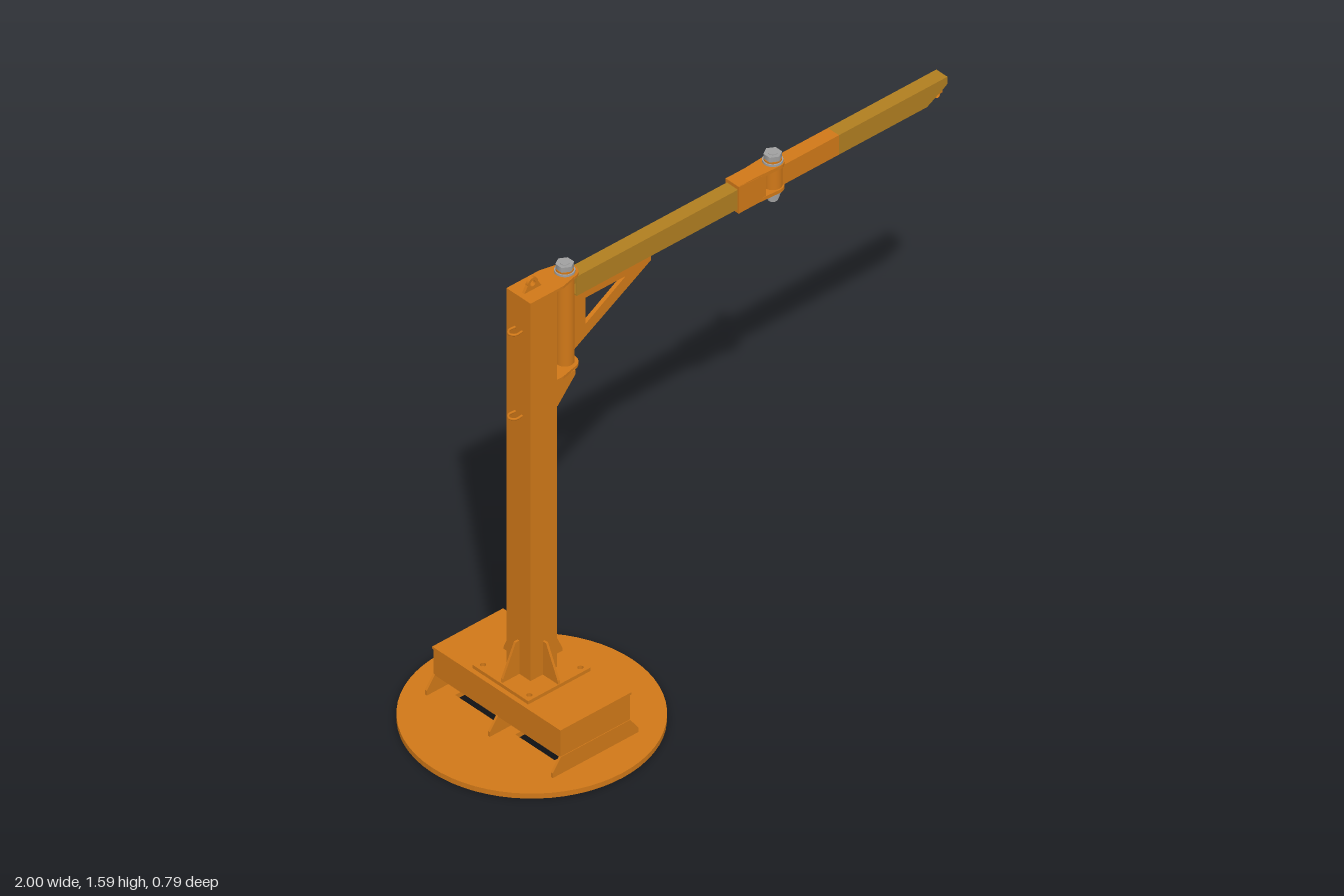
import * as THREE from 'three';

const mat = (color) => new THREE.MeshStandardMaterial({ color, side: THREE.DoubleSide });

export function createModel() {
  const root = new THREE.Group();
  const orange = mat(0xd07818), ochre = mat(0xb07e20), steel = mat(0xa0a0a0);
  const PX = -0.607, HX = -0.478, KX = 0.337; // post, hinge and knuckle axes

  function add(name, geo, material = orange, x = 0, y = 0, z = 0) {
    const m = new THREE.Mesh(geo, material);
    m.name = name;
    m.position.set(x, y, z);
    root.add(m);
    return m;
  }
  // box given by its limits
  const box = (name, x0, x1, y0, y1, z0, z1, material) =>
    add(name, new THREE.BoxGeometry(x1 - x0, y1 - y0, z1 - z0), material,
      (x0 + x1) / 2, (y0 + y1) / 2, (z0 + z1) / 2);
  const cyl = (name, r, y0, y1, x, z, material, sides = 32) =>
    add(name, new THREE.CylinderGeometry(r, r, y1 - y0, sides), material, x, (y0 + y1) / 2, z);
  const shapeOf = (pts) => new THREE.Shape(pts.map(([x, y]) => new THREE.Vector2(x, y)));
  const extrude = (shape, depth) =>
    new THREE.ExtrudeGeometry(shape, { depth, bevelEnabled: false, curveSegments: 32 });
  // upright plate centred on z
  const upright = (name, shape, t, z = 0, material) =>
    add(name, extrude(shape, t).translate(0, 0, -t / 2), material, 0, 0, z);
  // lying plate, bottom at y
  const lying = (name, shape, t, y) =>
    add(name, extrude(shape, t).rotateX(-Math.PI / 2), orange, 0, y, 0);
  const rectHole = (cx, cy, w, h) => new THREE.Path([[-1, -1], [1, -1], [1, 1], [-1, 1]]
    .map(([a, b]) => new THREE.Vector2(cx + a * w / 2, cy + b * h / 2)));
  const roundHole = (cx, cy, r) => new THREE.Path().absarc(cx, cy, r, 0, Math.PI * 2, true);

  // Round floor plate with two lifting slots
  const disc = new THREE.Shape().absarc(PX, 0, 0.393, 0, Math.PI * 2);
  for (const s of [-1, 1]) disc.holes.push(rectHole(PX, s * 0.13, 0.21, 0.17));
  const floor = extrude(disc, 0.018).rotateX(-Math.PI / 2);
  add('floorPlate', floor);

  // Three feet carrying the pedestal box
  for (const z of [-0.272, 0, 0.272]) {
    upright('foot', shapeOf([[-0.775, 0.018], [-0.44, 0.018], [-0.44, 0.035],
      [-0.472, 0.078], [-0.743, 0.078], [-0.775, 0.035]]), 0.008, z);
  }
  box('pedestalBox', -0.743, -0.471, 0.075, 0.17, -0.274, 0.274);
  box('pedestalTop', -0.746, -0.468, 0.168, 0.176, -0.277, 0.277);

  // Bolted foot plate of the post
  const foot = shapeOf([[-0.73, -0.12], [-0.485, -0.12], [-0.485, 0.12], [-0.73, 0.12]]);
  for (const a of [-1, 1]) for (const b of [-1, 1]) {
    foot.holes.push(roundHole(PX + a * 0.1, b * 0.1, 0.009));
  }
  lying('postFootPlate', foot, 0.012, 0.176);

  // Post and its four gussets
  box('post', -0.659, -0.555, 0.188, 1.545, -0.052, 0.052);
  for (let i = 0; i < 4; i++) {
    const g = extrude(shapeOf([[0.05, 0.188], [0.118, 0.188], [0.116, 0.2],
      [0.066, 0.308], [0.05, 0.308]]), 0.008).translate(0, 0, -0.004);
    add('postGusset', g, orange, PX, 0, 0).rotation.y = i * Math.PI / 2;
  }

  // Cable hooks: small U-shaped rods
  function hook(x, y, z, turn) {
    const c = new THREE.CatmullRomCurve3([[0, -0.015], [0.026, -0.015], [0.037, 0], [0.026, 0.015],
      [0, 0.015]].map(([a, b]) => new THREE.Vector3(a, 0, b)));
    add('cableHook', new THREE.TubeGeometry(c, 24, 0.004, 8), orange, x, y, z).rotation.y = turn;
  }
  hook(-0.658, 1.43, 0, Math.PI);
  hook(-0.658, 1.126, 0, Math.PI);
  hook(PX, 0.853, -0.051, Math.PI / 2);

  // Plate with a straight end and a round end about the pivot
  function tongue(x0, x1, w0, xc, r) {
    const s = new THREE.Shape();
    s.moveTo(x0, -w0).lineTo(x1, -w0).lineTo(xc, -r);
    s.absarc(xc, 0, r, -Math.PI / 2, Math.PI / 2);
    s.lineTo(x1, w0).lineTo(x0, w0);
    return s;
  }
  lying('hingeTopPlate', tongue(-0.659, -0.53, 0.052, HX, 0.04), 0.009, 1.541);
  lying('hingeBottomPlate', tongue(-0.556, -0.53, 0.052, HX, 0.04), 0.01, 1.214);
  for (const z of [-0.04, 0.04]) {
    upright('hingeGusset', shapeOf([[-0.556, 1.12], [-0.545, 1.12], [-0.475, 1.2],
      [-0.475, 1.215], [-0.556, 1.215]]), 0.007, z);
  }

  // Lifting lug with eye
  function eye(name, cx, cy, r, hole, base, t) {
    const s = new THREE.Shape();
    s.moveTo(cx - base[0], base[1]).lineTo(cx + base[0], base[1]);
    s.lineTo(cx + r, cy).absarc(cx, cy, r, 0, Math.PI);
    s.holes.push(roundHole(cx, cy, hole));
    upright(name, s, t);
  }
  eye('liftingLug', PX, 1.572, 0.02, 0.01, [0.034, 1.549], 0.01);

  // Pivot bolt: hex head, washers, shank and lower nuts
  function pivot(x, y0, y1) {
    cyl('pivotShank', 0.014, y0 - 0.042, y1 + 0.032, x, 0, steel);
    cyl('washer', 0.031, y1, y1 + 0.007, x, 0, steel);
    cyl('boltCollar', 0.027, y1 + 0.007, y1 + 0.013, x, 0, orange);
    cyl('boltHead', 0.028, y1 + 0.013, y1 + 0.03, x, 0, steel, 6);
    cyl('lowerWasher', 0.029, y0 - 0.007, y0, x, 0, steel);
    cyl('nut', 0.025, y0 - 0.021, y0 - 0.007, x, 0, steel, 6);
    cyl('lockNut', 0.021, y0 - 0.034, y0 - 0.022, x, 0, steel, 6);
  }
  cyl('hingeBarrel', 0.029, 1.226, 1.535, HX, 0, orange);
  pivot(HX, 1.214, 1.55);

  // Hollow arm beam; cut shortens the underside at a sloped end
  function beam(name, x0, x1, cut, material) {
    const b = 1.46, t = 1.53, w = 0.024, k = 0.005;
    const side = shapeOf(cut
      ? [[x0, b], [x1 - cut, b], [x1 - 0.006, 1.5], [x1, 1.505], [x1, t], [x0, t]]
      : [[x0, b], [x1, b], [x1, t], [x0, t]]);
    for (const s of [-1, 1]) upright(name + 'Side', side, k, s * (w - k / 2), material);
    box(name + 'Top', x0, x1, t - k, t, -w + k, w - k, material);
    box(name + 'Bottom', x0, x1 - cut, b, b + k, -w + k, w - k, material);
  }
  beam('innerArm', -0.453, 0.288, 0, ochre);
  beam('outerArmRoot', 0.352, 0.575, 0, orange);
  beam('outerArm', 0.575, 1, 0.08, ochre);

  // Triangular brace under the inner arm
  const brace = shapeOf([[-0.453, 1.252], [-0.147, 1.428], [-0.147, 1.46], [-0.453, 1.46]]);
  brace.holes.push(new THREE.Path([[-0.403, 1.325], [-0.403, 1.42], [-0.245, 1.42]]
    .map(([x, y]) => new THREE.Vector2(x, y))));
  upright('armBrace', brace, 0.014);

  // Knuckle clevis: top and bottom tongues with side cheeks
  for (const y of [1.446, 1.531]) {
    lying('knucklePlate', tongue(0.178, 0.255, 0.028, KX, 0.034), 0.012, y);
  }
  for (const s of [-1, 1]) {
    upright('knuckleCheek', shapeOf([[0.178, 1.446], [0.284, 1.455], [0.284, 1.535],
      [0.178, 1.543]]), 0.005, s * 0.0265);
  }
  cyl('knuckleBarrel', 0.029, 1.458, 1.531, KX, 0, orange);
  box('barrelWeb', KX + 0.02, 0.36, 1.46, 1.53, -0.02, 0.02);
  pivot(KX, 1.446, 1.543);

  // Load eye below the sloped arm tip
  eye('loadEye', 0.978, 1.465, 0.019, 0.01, [0.018, 1.466], 0.012);
  const web = shapeOf([[0.92, 1.465], [0.962, 1.462], [0.997, 1.469], [0.997, 1.525], [0.92, 1.525]]);
  web.holes.push(roundHole(0.978, 1.478, 0.004));
  upright('loadEyeWeb', web, 0.01);

  return root;
}
